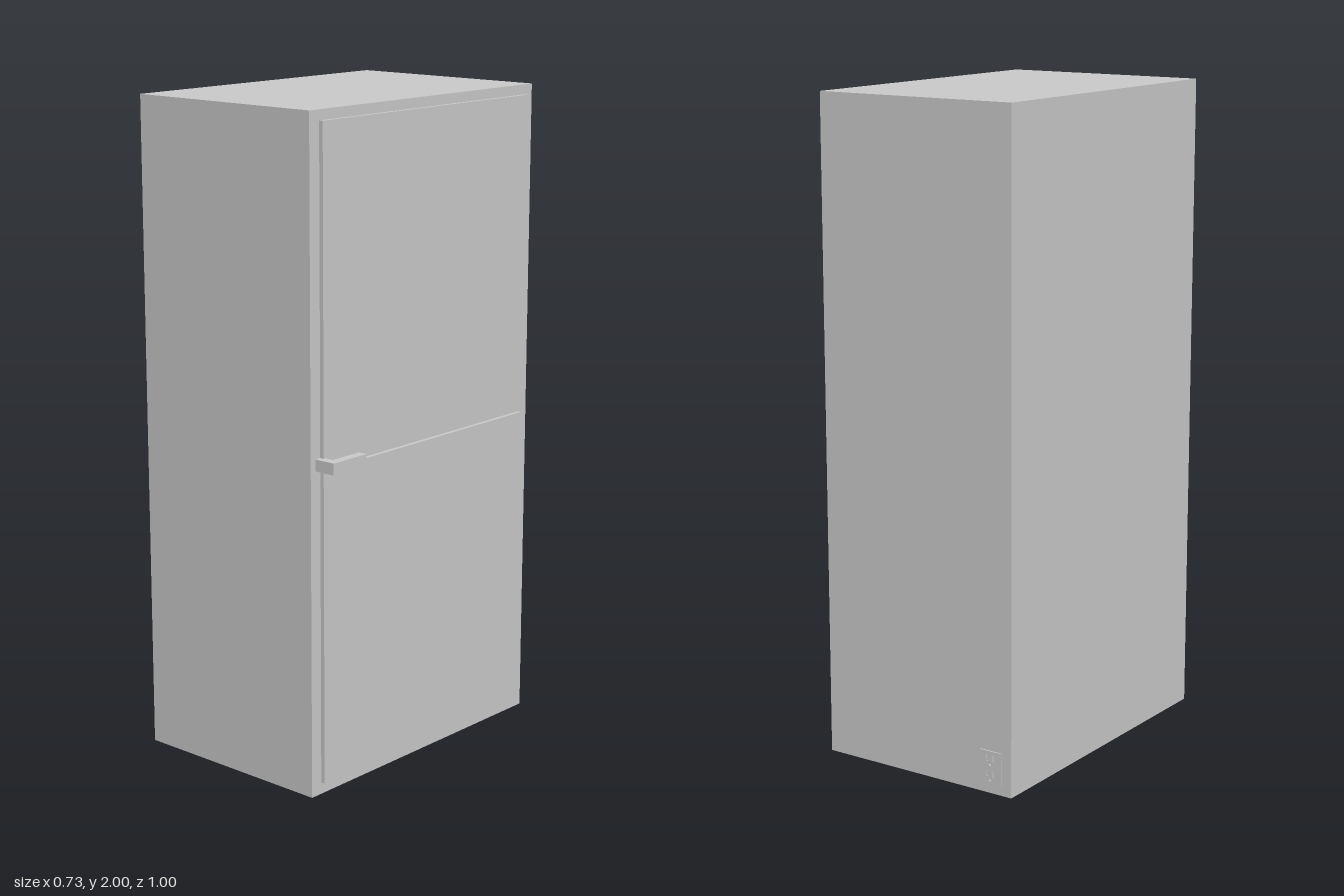
import * as THREE from 'three';

const material = new THREE.MeshStandardMaterial({ color: 0xcccccc, flatShading: true });

// Box given by its lower and upper corners
function box(name, [x0, y0, z0], [x1, y1, z1]) {
  const mesh = new THREE.Mesh(new THREE.BoxGeometry(x1 - x0, y1 - y0, z1 - z0), material);
  mesh.position.set((x0 + x1) / 2, (y0 + y1) / 2, (z0 + z1) / 2);
  mesh.name = name;
  return mesh;
}

function rectangle(path, x, y, w, h) {
  path.moveTo(x - w / 2, y - h / 2);
  path.lineTo(x + w / 2, y - h / 2);
  path.lineTo(x + w / 2, y + h / 2);
  path.lineTo(x - w / 2, y + h / 2);
  path.closePath();
  return path;
}

// Thin wall plate with two sockets, each with two slots and a ground hole
function createSocketPlate() {
  const shape = rectangle(new THREE.Shape(), 0, 0, 0.075, 0.105);
  for (const y of [-0.024, 0.024]) {
    for (const x of [-0.011, 0.011]) {
      shape.holes.push(rectangle(new THREE.Path(), x, y + 0.007, 0.006, 0.018));
    }
    shape.holes.push(new THREE.Path().absarc(0, y - 0.011, 0.005, 0, Math.PI * 2, true));
  }
  const geometry = new THREE.ExtrudeGeometry(shape, { depth: 0.004, bevelEnabled: false, curveSegments: 8 });
  const plate = new THREE.Mesh(geometry, material);
  plate.name = 'socketPlate';
  plate.rotation.y = Math.PI;
  plate.position.set(-0.295, 0.078, -0.497);
  return plate;
}

export function createModel() {
  const group = new THREE.Group();
  group.name = 'cabinet';
  group.add(box('body', [-0.366, 0, -0.497], [0.297, 2, 0.5]));

  // Upper and lower raised panels on the door side
  group.add(box('lowerPanel', [0.297, 0.035, -0.457], [0.31, 0.985, 0.46]));
  group.add(box('upperPanel', [0.297, 1.02, -0.457], [0.31, 1.97, 0.46]));

  // L-shaped handle: post out from the door, then a grip running back
  const profile = new THREE.Shape([
    [0.297, 0.48], [0.297, 0.452], [0.338, 0.452],
    [0.338, 0.34], [0.366, 0.34], [0.366, 0.48],
  ].map(([x, z]) => new THREE.Vector2(x, -z)));
  const handle = new THREE.Mesh(
    new THREE.ExtrudeGeometry(profile, { depth: 0.035, bevelEnabled: false }), material);
  handle.name = 'handle';
  handle.rotation.x = -Math.PI / 2;
  handle.position.y = 0.985;
  group.add(handle);

  group.add(createSocketPlate());
  return group;
}
